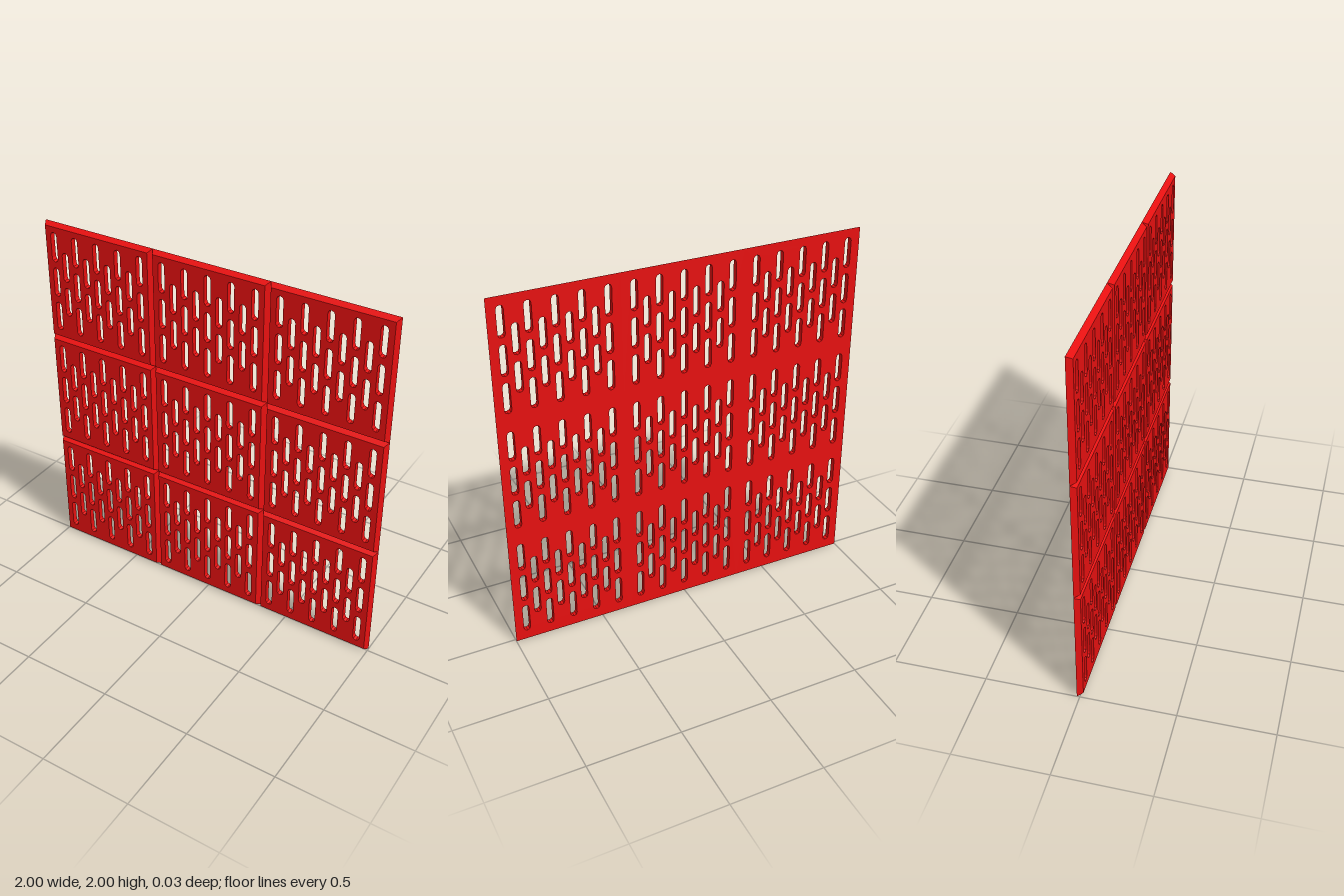
import * as THREE from 'three';

const TILE = 2 / 3, HALF = TILE / 2, DEPTH = 0.03, BEVEL = 0.016;
const PITCH = 0.0667, ROW = 0.2, SLOT_R = 0.0185, SLOT_H = 0.166;

// Upright slot with faceted round ends
function slot(cx, cy) {
  const points = [], straight = SLOT_H / 2 - SLOT_R;
  for (const end of [0, 1]) {
    for (let i = 0; i <= 4; i++) {
      const a = Math.PI * (end + i / 4);
      points.push(new THREE.Vector2(
        cx + SLOT_R * Math.cos(a),
        cy + SLOT_R * Math.sin(a) + (end ? -straight : straight)));
    }
  }
  return new THREE.Path(points);
}

// Square perforated tile, bevelled towards the front
function tileGeometry() {
  const shape = new THREE.Shape([
    new THREE.Vector2(-HALF, -HALF), new THREE.Vector2(HALF, -HALF),
    new THREE.Vector2(HALF, HALF), new THREE.Vector2(-HALF, HALF)]);
  // Columns alternate between three and two slots
  for (let c = -4; c <= 4; c++) {
    const rows = c % 2 === 0 ? [-1, 0, 1] : [-0.5, 0.5];
    for (const r of rows) shape.holes.push(slot(c * PITCH, r * ROW + 0.004));
  }
  const geometry = new THREE.ExtrudeGeometry(shape, { depth: DEPTH, bevelEnabled: false });
  geometry.translate(0, 0, -DEPTH / 2);

  // Pull the front outline inwards to form the sloped rim
  const p = geometry.attributes.position;
  for (let i = 0; i < p.count; i++) {
    if (p.getZ(i) > 0 && Math.abs(p.getX(i)) > HALF - 0.001) {
      p.setX(i, Math.sign(p.getX(i)) * (HALF - BEVEL));
      p.setY(i, Math.sign(p.getY(i)) * (HALF - BEVEL));
    }
  }
  geometry.computeVertexNormals();
  return geometry;
}

export function createModel() {
  const group = new THREE.Group();
  group.name = 'perforatedPanel';
  const material = new THREE.MeshStandardMaterial({ color: 0xe81010, flatShading: true });
  const geometry = tileGeometry();

  // Three by three grid of tiles
  for (let row = 0; row < 3; row++) {
    for (let col = 0; col < 3; col++) {
      const tile = new THREE.Mesh(geometry, material);
      tile.name = `tileRow${row + 1}Column${col + 1}`;
      tile.position.set((col - 1) * TILE, (row + 0.5) * TILE, 0);
      group.add(tile);
    }
  }
  return group;
}
